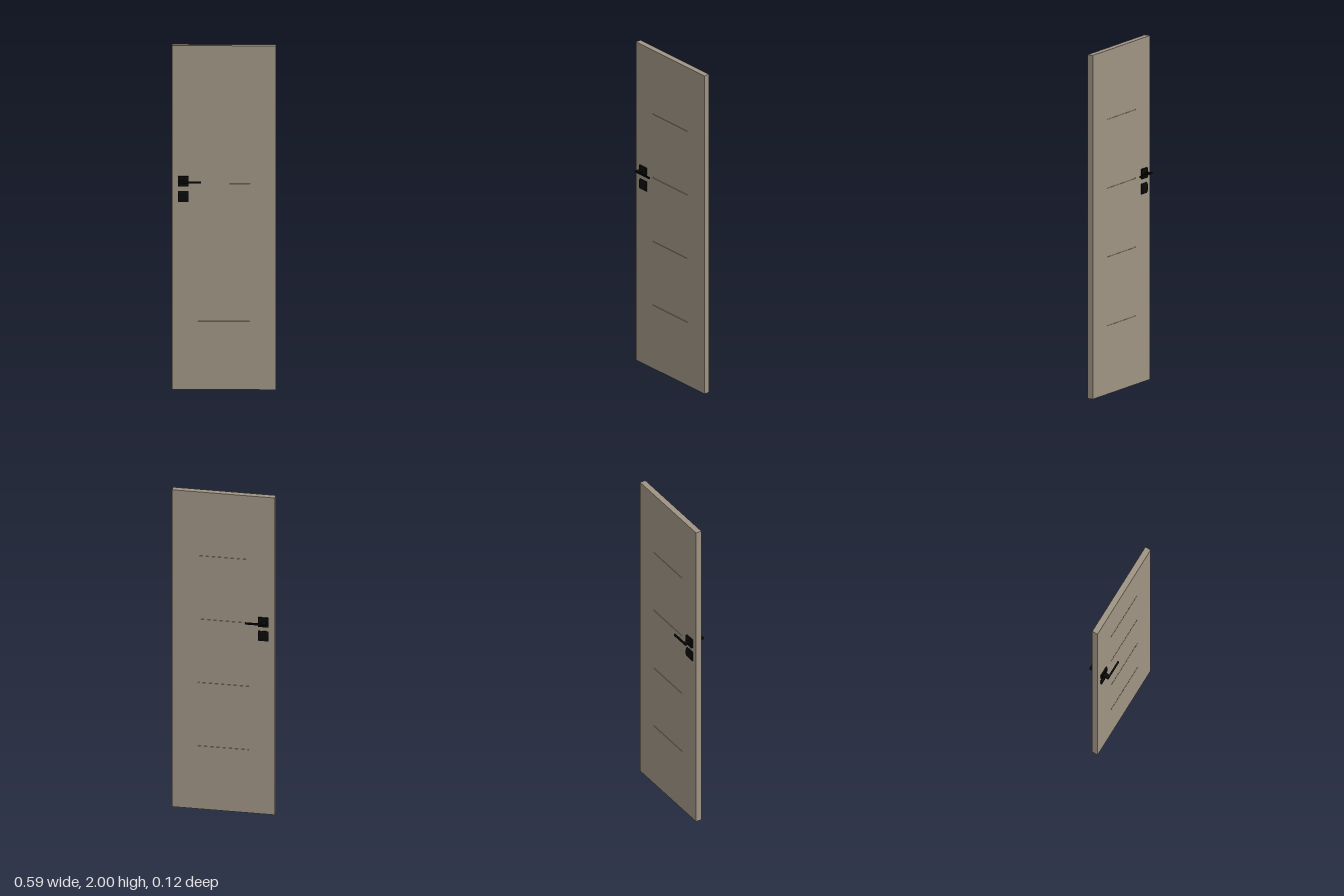
import * as THREE from 'three';

const W = 0.591, H = 2, HALF = 0.0175, SKIN = 0.003;

export function createModel() {
  const door = new THREE.Group();
  door.name = 'door';
  const panelPaint = new THREE.MeshStandardMaterial({ color: 0x9f9484 });
  panelPaint.name = 'taupe panel';
  const blackMetal = new THREE.MeshStandardMaterial({ color: 0x0a0a0a });
  blackMetal.name = 'black metal';

  const add = (parent, name, geometry, material, x, y, z) => {
    const mesh = new THREE.Mesh(geometry, material);
    mesh.name = name;
    mesh.position.set(x, y, z);
    parent.add(mesh);
  };
  const box = (w, h, d) => new THREE.BoxGeometry(w, h, d);
  const rect = (Path, x, y, w, h) => new Path([
    new THREE.Vector2(x - w / 2, y - h / 2), new THREE.Vector2(x + w / 2, y - h / 2),
    new THREE.Vector2(x + w / 2, y + h / 2), new THREE.Vector2(x - w / 2, y + h / 2),
  ]);

  // Solid core of the door leaf
  add(door, 'panelCore', box(W, H, 2 * (HALF - SKIN)), panelPaint, 0, H / 2, 0);

  // Face sheet with four horizontal grooves cut through to the core
  const face = rect(THREE.Shape, 0, H / 2, W, H);
  for (const y of [0.4, 0.8, 1.2, 1.6]) face.holes.push(rect(THREE.Path, 0, y, W / 2, 0.005));
  const faceGeometry = new THREE.ExtrudeGeometry(face, { depth: SKIN, bevelEnabled: false });

  // Lock cover with chamfered upper and lower edges, profile (z, y) run along x
  const cover = new THREE.Shape([[0, -0.031], [0.004, -0.031], [0.0095, -0.016],
    [0.0095, 0.016], [0.004, 0.031], [0, 0.031]].map(([z, y]) => new THREE.Vector2(z, y)));
  const coverGeometry = new THREE.ExtrudeGeometry(cover, { depth: 0.059, bevelEnabled: false });
  coverGeometry.translate(0, 0, -0.0295).rotateY(-Math.PI / 2).scale(1, 1, 1);

  // Each side carries the same sheet and hardware; the back is turned half round
  for (const back of [false, true]) {
    const side = new THREE.Group();
    side.name = back ? 'backSide' : 'frontSide';
    side.rotation.y = back ? Math.PI : 0;
    const s = back ? -1 : 1;
    add(side, 'groovedFace', faceGeometry, panelPaint, 0, 0, HALF - SKIN);
    add(side, 'handleRose', box(0.059, 0.058, 0.0095), blackMetal, -0.2305 * s, 1.212, HALF + 0.00475);
    add(side, 'lockCover', coverGeometry, blackMetal, -0.2305 * s, 1.124, HALF);
    add(side, 'handleStem', box(0.026, 0.01, 0.045), blackMetal, -0.239 * s, 1.214, HALF + 0.0225);
    add(side, 'handleLever', box(0.121, 0.01, 0.0095), blackMetal, -0.1915 * s, 1.214, 0.05775);
    door.add(side);
  }
  return door;
}
